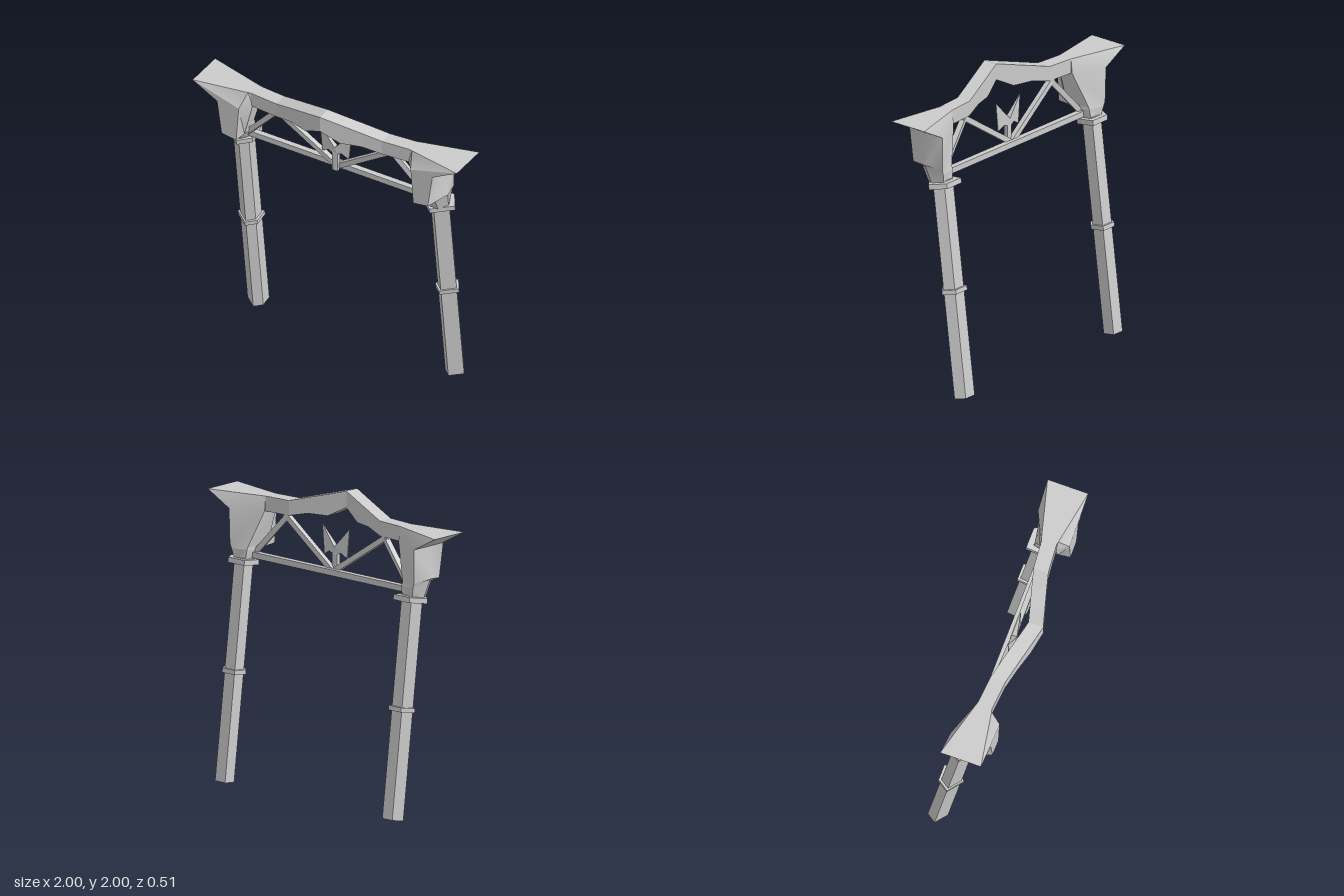
import * as THREE from 'three';
import { toCreasedNormals } from 'three/addons/utils/BufferGeometryUtils.js';

const material = new THREE.MeshStandardMaterial({ color: 0xcccccc, flatShading: true });
const smoothMaterial = new THREE.MeshStandardMaterial({ color: 0xcccccc });

// Skins rings of [x, y, z] corners and caps both ends; side = -1 mirrors in x.
function loft(rings, side = 1) {
  const positions = [];
  const tri = (a, b, c) => {
    for (const p of side > 0 ? [a, b, c] : [a, c, b]) positions.push(p[0] * side, p[1], p[2]);
  };
  for (let r = 0; r < rings.length - 1; r++) {
    const a = rings[r], b = rings[r + 1];
    a.forEach((_, i) => {
      const j = (i + 1) % a.length;
      tri(a[i], a[j], b[j]);
      tri(a[i], b[j], b[i]);
    });
  }
  const first = rings[0], last = rings[rings.length - 1];
  for (let i = 1; i < first.length - 1; i++) {
    tri(first[0], first[i + 1], first[i]);
    tri(last[0], last[i], last[i + 1]);
  }
  const g = new THREE.BufferGeometry();
  g.setAttribute('position', new THREE.Float32BufferAttribute(positions, 3));
  g.computeVertexNormals();
  return g;
}

function add(parent, name, geometry, mat = material) {
  const mesh = new THREE.Mesh(geometry, mat);
  mesh.name = name;
  parent.add(mesh);
  return mesh;
}

// Straight square bar between two points
function bar(parent, name, from, to, width, depth) {
  const a = new THREE.Vector3(...from), b = new THREE.Vector3(...to);
  const mesh = add(parent, name, new THREE.BoxGeometry(width, a.distanceTo(b), depth));
  mesh.position.copy(a).add(b).multiplyScalar(0.5);
  mesh.quaternion.setFromUnitVectors(new THREE.Vector3(0, 1, 0), b.sub(a).normalize());
}

// Five-sided section of the posts
const pentagon = [[0.07, 0], [0.03, -0.062], [-0.058, -0.062], [-0.062, 0.02], [-0.012, 0.063]];
const prism = (y0, y1, scale, side) =>
  loft([y0, y1].map(y => pentagon.map(([x, z]) => [x * scale, y, z * scale])), side);

// Leaning post with a middle band and a collar
function post(side) {
  const g = new THREE.Group();
  g.name = side > 0 ? 'leftPost' : 'rightPost';
  g.position.set(0.75 * side, 0.008, -0.193);
  g.rotation.x = 0.126;
  add(g, 'shaft', prism(0, 1.47, 1, side));
  add(g, 'middleBand', prism(0.71, 0.74, 1.25, side));
  add(g, 'collar', prism(1.43, 1.465, 1.62, side));
  return g;
}

// Bracket on each post, flaring out into a pointed wing at the top
const bracketRings = [
  [[0.78, 1.45, 0.065], [0.82, 1.45, 0], [0.78, 1.45, -0.068], [0.69, 1.45, -0.065], [0.685, 1.45, 0.02], [0.72, 1.45, 0.065]],
  [[0.785, 1.545, 0.11], [0.838, 1.57, 0.04], [0.8, 1.53, -0.08], [0.68, 1.53, -0.06], [0.66, 1.53, 0.06], [0.68, 1.535, 0.11]],
  [[0.78, 1.55, 0.192], [0.847, 1.58, 0.05], [0.81, 1.56, -0.082], [0.68, 1.55, -0.05], [0.657, 1.54, 0.11], [0.67, 1.535, 0.192]],
  [[0.815, 1.79, 0.192], [0.818, 1.79, 0.05], [0.815, 1.79, -0.085], [0.59, 1.79, 0.01], [0.59, 1.79, 0.12], [0.65, 1.79, 0.192]],
  [[1, 1.89, 0.192], [1, 1.89, 0.05], [1, 1.89, -0.088], [0.59, 1.89, 0.02], [0.59, 1.89, 0.12], [0.62, 1.89, 0.126]],
];

// Arched beam stations: x, bottom, top, back z
const beamStations = [
  [0, 1.89, 2, 0.15], [0.13, 1.82, 1.964, 0.113], [0.27, 1.82, 1.926, 0.073],
  [0.4, 1.79, 1.89, 0.037], [0.6, 1.79, 1.89, 0.02],
];
const mirrored = [...beamStations.slice(1).reverse().map(([x, ...rest]) => [-x, ...rest]), ...beamStations];

// Forked ornament, thick in the middle and thin at the tips
function ornament() {
  const half = [[0.02, 1.47], [0.02, 1.605], [0.05, 1.615], [0.1, 1.585], [0.12, 1.785]];
  const outline = [[0, 1.47], ...half, [0, 1.65], ...half.map(([x, y]) => [-x, y]).reverse()];
  const shape = new THREE.Shape(outline.map(p => new THREE.Vector2(...p)));
  const g = new THREE.ExtrudeGeometry(shape, { depth: 2, bevelEnabled: false });
  const p = g.attributes.position;
  for (let i = 0; i < p.count; i++) {
    const thickness = 0.018 * (1 - Math.abs(p.getX(i)) / 0.13);
    p.setZ(i, 0.053 + (p.getZ(i) - 1) * thickness);
  }
  g.computeVertexNormals();
  return g;
}

export function createModel() {
  const model = new THREE.Group();
  model.name = 'gateway';

  for (const side of [1, -1]) {
    model.add(post(side));
    add(model, side > 0 ? 'leftBracket' : 'rightBracket',
      toCreasedNormals(loft(bracketRings, side), 0.55), smoothMaterial);
    // Truss diagonals
    bar(model, 'innerBrace', [0, 1.488, 0.03], [0.45 * side, 1.79, 0.06], 0.036, 0.035);
    bar(model, 'outerBrace', [0.42 * side, 1.79, 0.06], [0.69 * side, 1.49, 0.02], 0.036, 0.035);
  }

  add(model, 'archedBeam', loft(mirrored.map(([x, low, high, back]) =>
    [[x, low, back + 0.102], [x, low, back], [x, high, back], [x, high, back + 0.102]])));
  bar(model, 'tieBeam', [-0.73, 1.49, 0.008], [0.73, 1.49, 0.008], 0.04, 0.04);
  add(model, 'ornament', ornament());
  return model;
}
